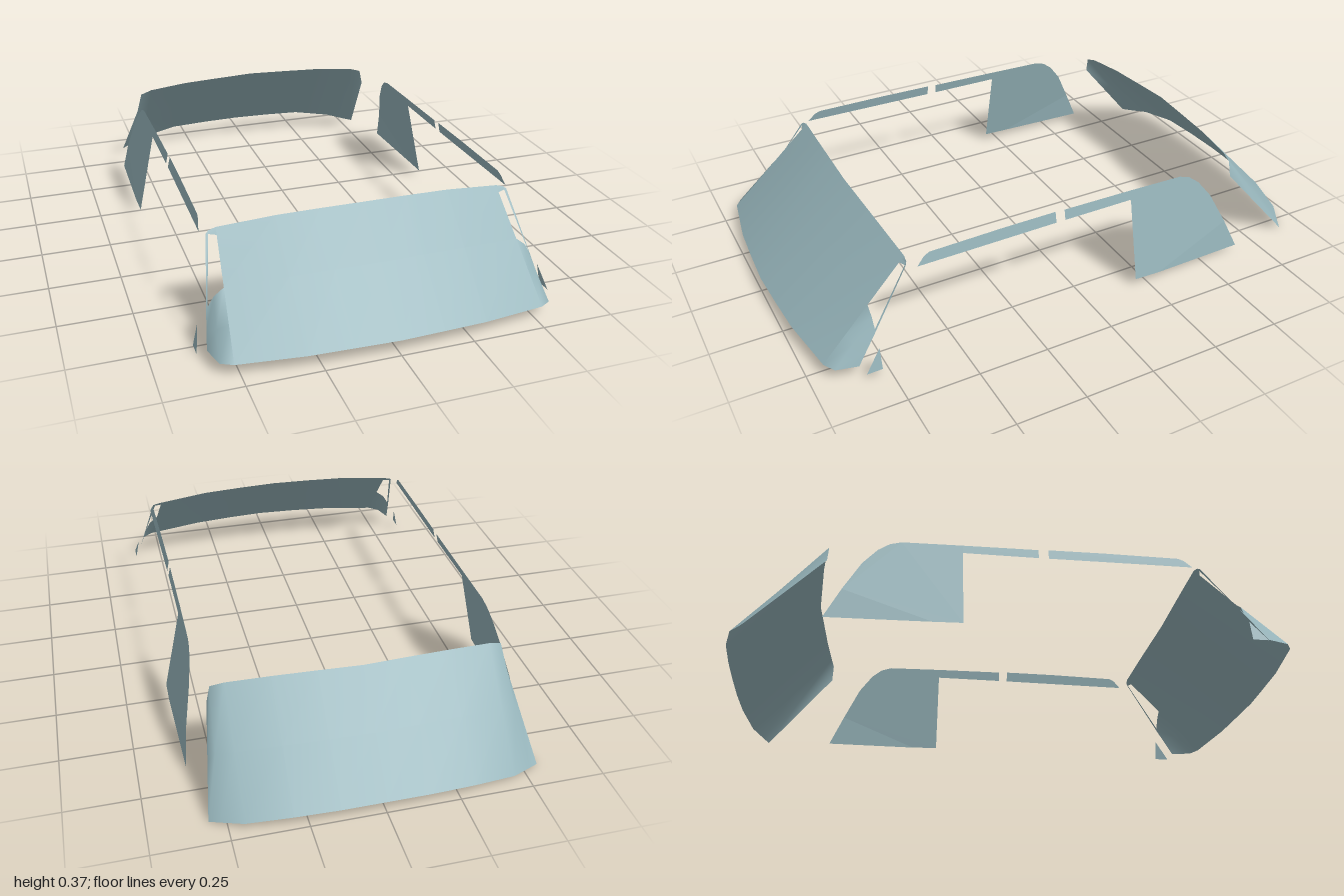
import * as THREE from 'three';
import { mergeGeometries, mergeVertices } from 'three/addons/utils/BufferGeometryUtils.js';

const glass = new THREE.MeshStandardMaterial({ color: 0x96b4ba, side: THREE.DoubleSide });
glass.name = 'tinted glass';

const v = (x, y, z) => new THREE.Vector3(x, y, z);
const flip = (p) => v(-p.x, p.y, p.z);
const flipCols = (cols) => cols.map((c) => c.map(flip)).reverse();

// Ruled sheet through [top, bottom] columns, cut into rows at the given fractions
function sheet(cols, rows = [0, 0.5, 1]) {
  const pos = [], idx = [], n = rows.length;
  cols.forEach(([top, bottom], i) => {
    rows.forEach((t, j) => {
      pos.push(...top.clone().lerp(bottom, t).toArray());
      if (i && j) {
        const d = i * n + j, c = d - 1, b = d - n, a = b - 1;
        idx.push(a, b, c, c, b, d);
      }
    });
  });
  return rawGeometry(pos, idx);
}

function rawGeometry(pos, idx) {
  const g = new THREE.BufferGeometry();
  g.setAttribute('position', new THREE.Float32BufferAttribute(pos, 3));
  g.setIndex(idx);
  return g;
}

// Weld sheets into one smooth pane
function pane(name, parts) {
  const g = mergeVertices(mergeGeometries(parts), 1e-4);
  g.computeVertexNormals();
  const m = new THREE.Mesh(g, glass);
  m.name = name;
  return m;
}

function windshield() {
  const edge = [v(0.49, 0.348, 0.635), v(0.52, 0.043, 0.945)];
  const half = [
    [v(0.15, 0.369, 0.652), v(0.15, 0.053, 0.99)],
    [v(0.3, 0.365, 0.647), v(0.3, 0.05, 0.98)],
    edge,
  ];
  const cut = 0.45; // height of the notch beside the pillar
  const main = [...flipCols(half), [v(0, 0.371, 0.656), v(0, 0.054, 0.997)], ...half];
  // lower corner below the notch
  const notch = edge[0].clone().lerp(edge[1], cut);
  const outer = v(0.562, 0.143, 0.775);
  const corner = [
    [notch, edge[1]],
    [v(0.537, 0.185, 0.775), v(0.56, 0.04, 0.92)],
    [outer, v(0.58, 0.042, 0.845)],
  ];
  // thin strip along the pillar, and the small tab at its top
  const strip = [
    [v(0.515, 0.342, 0.638), v(0.557, 0.15, 0.775)],
    [v(0.525, 0.335, 0.645), outer],
  ];
  const tab = [
    [edge[0], edge[0].clone().lerp(edge[1], 0.06)],
    [strip[0][0], strip[0][0].clone().lerp(strip[0][1], 0.05)],
  ];
  const parts = [sheet(main, [0, cut, 1])];
  for (const cols of [corner, strip, tab]) parts.push(sheet(cols), sheet(flipCols(cols)));
  return pane('windshield', parts);
}

function rearWindow() {
  const half = [
    [v(0.15, 0.363, -0.69), v(0.15, 0.043, -0.998)],
    [v(0.3, 0.36, -0.68), v(0.3, 0.04, -0.99)],
    [v(0.45, 0.35, -0.664), v(0.45, 0.02, -0.96)],
    [v(0.495, 0.338, -0.656), v(0.52, 0.006, -0.922)],
    [v(0.508, 0.28, -0.659), v(0.556, 0, -0.903)],
  ];
  const cols = [...flipCols(half), [v(0, 0.365, -0.7), v(0, 0.045, -1)], ...half];
  return pane('rearWindow', [sheet(cols.reverse())]);
}

// Flat [z, y] outline leaned inward toward the roof; side is 1 or -1
function sidePane(name, outline, side) {
  const pts = outline.map(([z, y]) => new THREE.Vector2(z, y));
  const pos = pts.flatMap((p) => {
    let x = 0.525 + 0.217 * (0.365 - p.y) + 0.013 * Math.max(0, p.x);
    if (p.x < -0.62) x -= 0.009; // rear lower tip bends inward
    return [side * x, p.y, p.x];
  });
  const ccw = !THREE.ShapeUtils.isClockWise(pts);
  const faces = THREE.ShapeUtils.triangulateShape(pts, []);
  const idx = faces.flatMap(([a, b, c]) => (ccw === side > 0 ? [a, c, b] : [a, b, c]));
  return pane(name, [rawGeometry(pos, idx)]);
}

export function createModel() {
  const model = new THREE.Group();
  model.name = 'carWindows';
  model.add(windshield(), rearWindow());

  const frontStrip = [[0.1, 0.33], [0.1, 0.369], [0.3, 0.37], [0.565, 0.367], [0.585, 0.358], [0.612, 0.33]];
  const frontCorner = [[0.832, 0.025], [0.777, 0.025], [0.777, 0.1]];
  const rearStrip = [[0.065, 0.33], [0.065, 0.367], [-0.2, 0.364], [-0.2, 0.33]];
  const rearPane = [
    [-0.2, 0.364], [-0.41, 0.36], [-0.45, 0.348], [-0.49, 0.318], [-0.54, 0.255],
    [-0.6, 0.138], [-0.3, 0.024], [-0.2, 0.027], [-0.2, 0.33],
  ];
  const rearTip = [[-0.6, 0.138], [-0.655, 0.022], [-0.3, 0.024]];

  for (const [label, side] of [['left', 1], ['right', -1]]) {
    model.add(
      sidePane(label + 'FrontWindowStrip', frontStrip, side),
      sidePane(label + 'FrontWindowCorner', frontCorner, side),
      sidePane(label + 'RearWindowStrip', rearStrip, side),
      sidePane(label + 'RearSideWindow', rearPane, side),
      sidePane(label + 'RearSideWindowTip', rearTip, side),
    );
  }
  return model;
}
